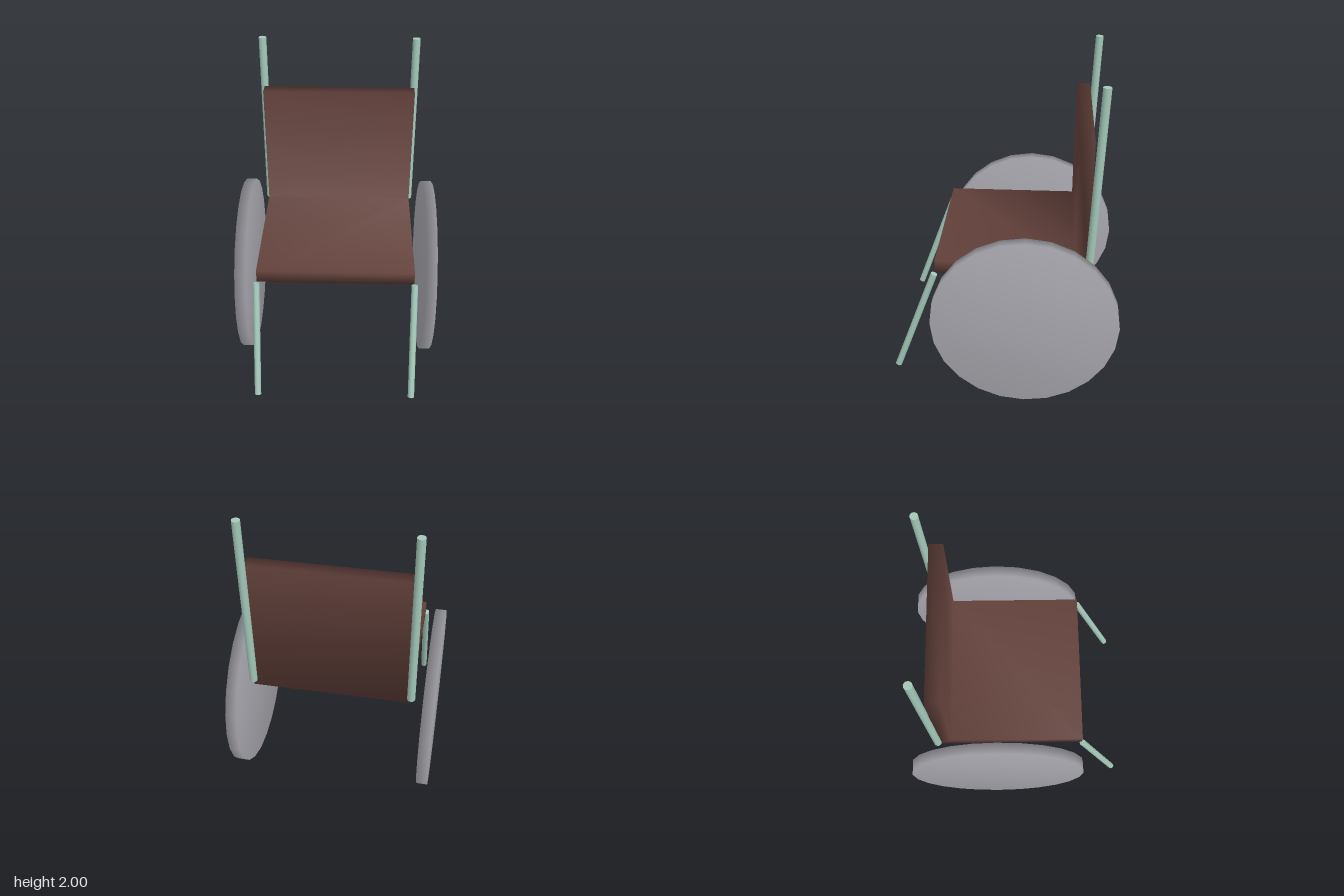
import * as THREE from 'three';
import { mergeVertices } from 'three/addons/utils/BufferGeometryUtils.js';

const mat = (name, color) => {
  const m = new THREE.MeshStandardMaterial({ color });
  m.name = name;
  return m;
};

// Share corner vertices so the shading runs softly over the edges
function soften(geometry) {
  geometry.deleteAttribute('uv');
  geometry.deleteAttribute('normal');
  const merged = mergeVertices(geometry, 1e-4);
  merged.computeVertexNormals();
  return merged;
}

export function createModel() {
  const group = new THREE.Group();
  const leather = mat('brown leather', 0x62403a);
  const tubing = mat('pale green tubing', 0xa3c8b9);
  const metal = mat('grey metal', 0xa9a9b0);

  const add = (name, geometry, material) => {
    const mesh = new THREE.Mesh(geometry, material);
    mesh.name = name;
    group.add(mesh);
    return mesh;
  };

  // Straight round rod between two points
  function rod(name, a, b, radius) {
    const dir = b.clone().sub(a);
    const mesh = add(name, new THREE.CylinderGeometry(radius, radius, dir.length(), 12), tubing);
    mesh.position.copy(a).add(b).multiplyScalar(0.5);
    mesh.quaternion.setFromUnitVectors(new THREE.Vector3(0, 1, 0), dir.normalize());
  }

  // Seat and backrest: one L-shaped profile (z, y) extruded across the width
  const profile = new THREE.Shape([
    [0.41, 0.83], [0.41, 0.91], [-0.41, 0.91],
    [-0.41, 1.69], [-0.495, 1.69], [-0.495, 0.83],
  ].map(([z, y]) => new THREE.Vector2(-z, y)));
  const seat = new THREE.ExtrudeGeometry(profile, { depth: 0.95, bevelEnabled: false });
  seat.translate(0, 0, -0.475);
  seat.rotateY(Math.PI / 2);
  add('seatAndBackrest', soften(seat), leather);

  for (const [side, s] of [['left', 1], ['right', -1]]) {
    const at = (x, y, z) => new THREE.Vector3(s * x, y, z);
    rod(side + 'FrontLeg', at(0.478, 0.137, 0.67), at(0.478, 0.823, 0.415), 0.02);
    rod(side + 'BackPost', at(0.476, 0.866, -0.497), at(0.476, 1.999, -0.54), 0.024);

    // Solid disc wheel
    const disc = new THREE.CylinderGeometry(0.562, 0.562, 0.068, 24);
    disc.rotateZ(Math.PI / 2);
    const wheel = add(side + 'Wheel', soften(disc), metal);
    wheel.position.set(s * 0.583, 0.565, -0.127);
  }
  return group;
}
